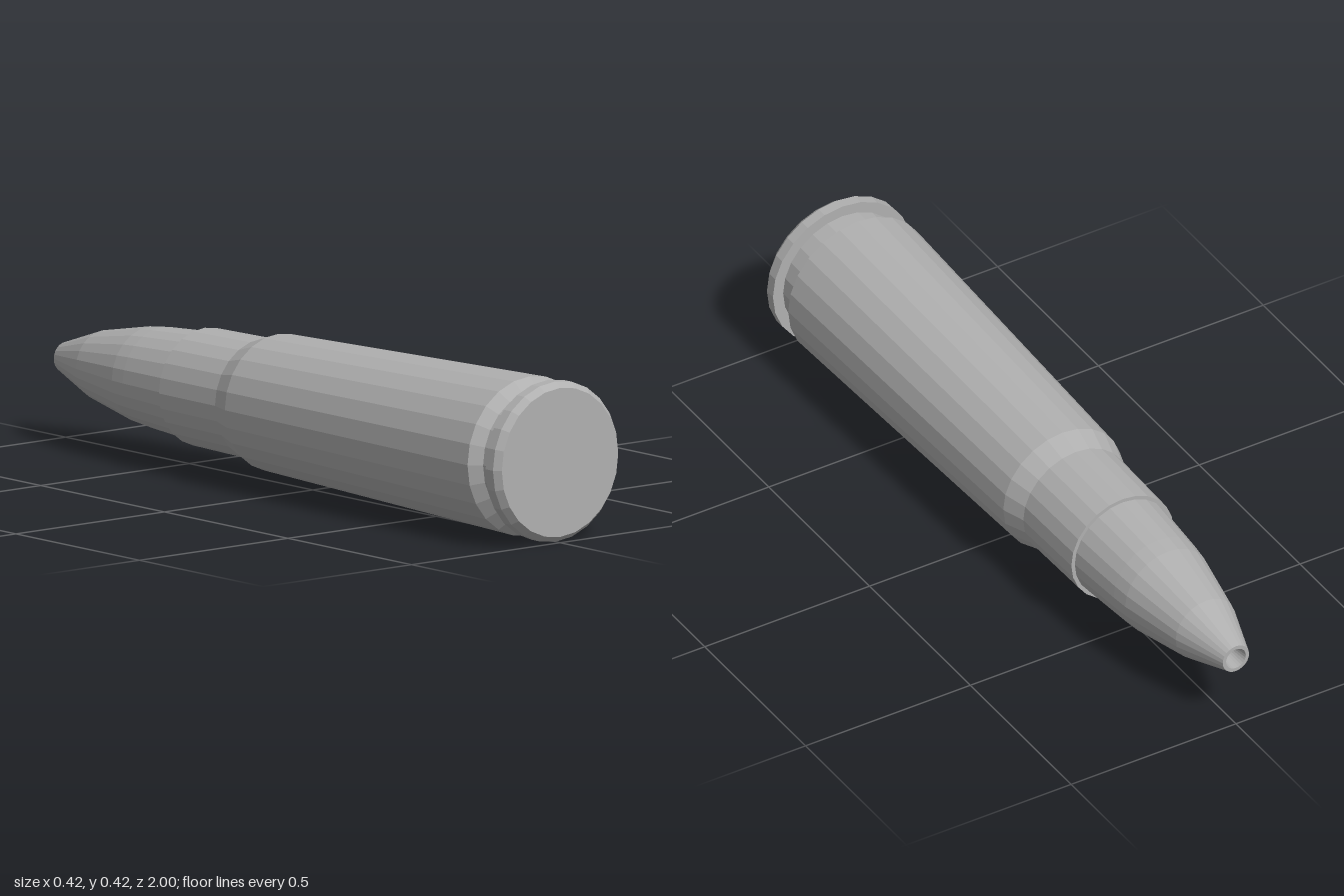
import * as THREE from 'three';

const SIDES = 24;
const AXIS_Y = 0.211;

// Revolves [z, radius] pairs, listed from the base (+z) to the tip (-z), around the long axis
function turned(name, profile, material) {
  const points = profile.map(([z, r]) => new THREE.Vector2(r, -z));
  const geometry = new THREE.LatheGeometry(points, SIDES);
  geometry.rotateX(-Math.PI / 2);
  const mesh = new THREE.Mesh(geometry, material);
  mesh.name = name;
  mesh.position.y = AXIS_Y;
  return mesh;
}

export function createModel() {
  const group = new THREE.Group();
  group.name = 'cartridge';
  const metal = new THREE.MeshStandardMaterial({ color: 0xb0b0b0 });
  metal.name = 'grey metal';
  metal.flatShading = true;

  // Flat base with a bevelled rim
  group.add(turned('rim', [
    [1, 0], [1, 0.196], [0.982, 0.211], [0.952, 0.211], [0.952, 0.18],
  ], metal));

  // Narrow groove between rim and case
  group.add(turned('extractorGroove', [[0.952, 0.18], [0.905, 0.18]], metal));

  // Tapered case, shoulder, neck and the lip around the bullet
  group.add(turned('case', [
    [0.905, 0.18], [0.878, 0.21], [-0.14, 0.18], [-0.205, 0.159],
    [-0.437, 0.155], [-0.437, 0.143],
  ], metal));

  // Curved bullet with a hollow point
  group.add(turned('bullet', [
    [-0.43, 0.145], [-0.61, 0.133], [-0.66, 0.128], [-0.85, 0.091],
    [-1, 0.04], [-1, 0.03], [-0.88, 0.012], [-0.88, 0],
  ], metal));

  return group;
}
